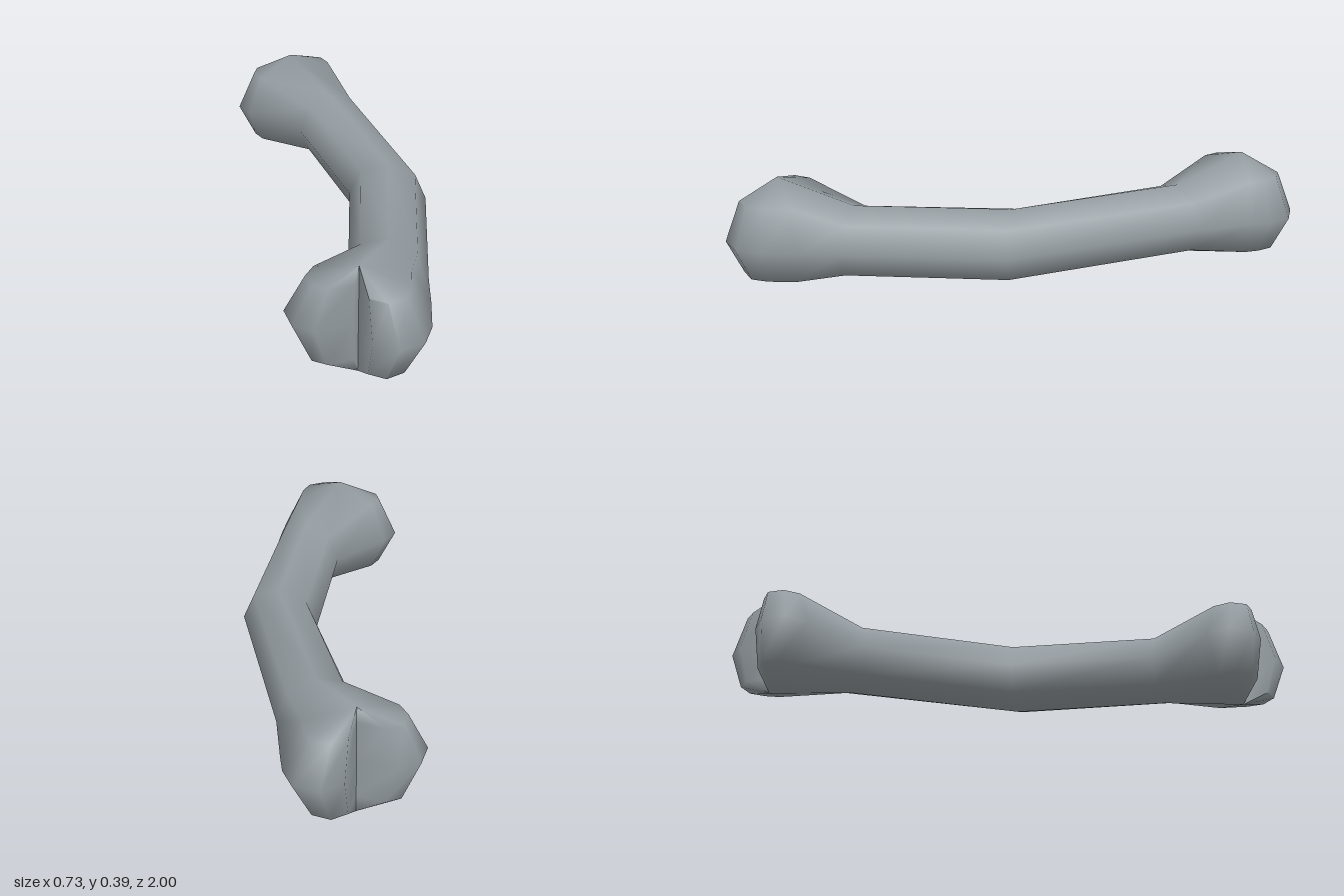
import * as THREE from 'three';
import { toCreasedNormals } from 'three/addons/utils/BufferGeometryUtils.js';

const KNOB_Y = 0.195, KNOB_H = 0.193;

// Outlines are [x, z] at mid height. Each knob swells around its notch point.
const backNotch = [0.13, -0.86];
const backOutline = [
  [-0.08, -0.76], [-0.1, -0.84], [-0.06, -0.915], [0.02, -0.93], backNotch,
  [0.19, -0.975], [0.27, -1], [0.345, -0.95], [0.36, -0.87], [0.355, -0.8],
];
const frontNotch = [-0.16, 0.8];
const frontOutline = [
  [0.09, 0.78], [0.04, 0.91], [-0.01, 0.98], [-0.1, 1], [-0.165, 0.94], frontNotch,
  [-0.185, 0.82], [-0.31, 0.82], [-0.365, 0.77], [-0.365, 0.68], [-0.305, 0.615],
];

// Point between a middle axis and a side point, at an angle round the section
function sectionPoint(mid, side, angle, y, h) {
  const s = Math.abs(Math.cos(angle));
  return new THREE.Vector3(
    mid[0] + (side[0] - mid[0]) * s,
    y + h * Math.sin(angle),
    mid[1] + (side[1] - mid[1]) * s,
  );
}

// Eight-sided ring through a left, a middle and a right point
function ring({ l, r, mid, y, h }) {
  const m = mid ?? [(l[0] + r[0]) / 2, (l[1] + r[1]) / 2];
  return Array.from({ length: 9 }, (_, j) => {
    const a = (j % 8) * Math.PI / 4;
    return sectionPoint(m, Math.cos(a) > 0 ? r : l, a, y, h);
  });
}

// Domed, two-lobed knob: the outline shrinks to the notch above and below
function knobColumns(outline, notch) {
  return outline.map((p) => Array.from({ length: 5 }, (_, j) =>
    sectionPoint(notch, p, (j - 2) * Math.PI / 4, KNOB_Y, KNOB_H)));
}

// Skin neighbouring rows of points, leaving out collapsed triangles
function skin(rows, out) {
  const tri = (a, b, c) => {
    const area = b.clone().sub(a).cross(c.clone().sub(a)).length();
    if (area > 1e-7) for (const p of [a, b, c]) out.push(p.x, p.y, p.z);
  };
  for (let i = 0; i < rows.length - 1; i++) {
    for (let j = 0; j < rows[i].length - 1; j++) {
      const a = rows[i][j], b = rows[i][j + 1], c = rows[i + 1][j + 1], d = rows[i + 1][j];
      tri(a, b, d);
      tri(b, c, d);
    }
  }
}

export function createModel() {
  const grey = new THREE.MeshStandardMaterial({ color: 0x949ca1 });
  grey.name = 'boneGrey';

  // Bent shaft flaring into both knobs, from back to front
  const shaft = [
    { l: backOutline[0], r: backOutline.at(-1), mid: backNotch, y: KNOB_Y, h: KNOB_H },
    { l: [0.07, -0.54], r: [0.335, -0.6], y: 0.193, h: 0.129 },
    { l: [0.09, 0], r: [0.34, 0.12], y: 0.184, h: 0.13 },
    { l: [-0.085, 0.49], r: [0.135, 0.65], y: 0.191, h: 0.13 },
    { l: frontOutline.at(-1), r: frontOutline[0], mid: frontNotch, y: KNOB_Y, h: KNOB_H },
  ].map(ring);

  const positions = [];
  skin(shaft, positions);
  skin(knobColumns(backOutline, backNotch), positions);
  skin(knobColumns(frontOutline, frontNotch), positions);

  // Smooth all over, with a sharp crease in each notch
  const geometry = new THREE.BufferGeometry();
  geometry.setAttribute('position', new THREE.Float32BufferAttribute(positions, 3));
  geometry.computeBoundingBox();
  geometry.translate(0, -geometry.boundingBox.min.y, 0);

  const bone = new THREE.Mesh(toCreasedNormals(geometry, 1.15), grey);
  bone.name = 'bone';
  const group = new THREE.Group();
  group.name = 'bentBone';
  group.add(bone);
  return group;
}
